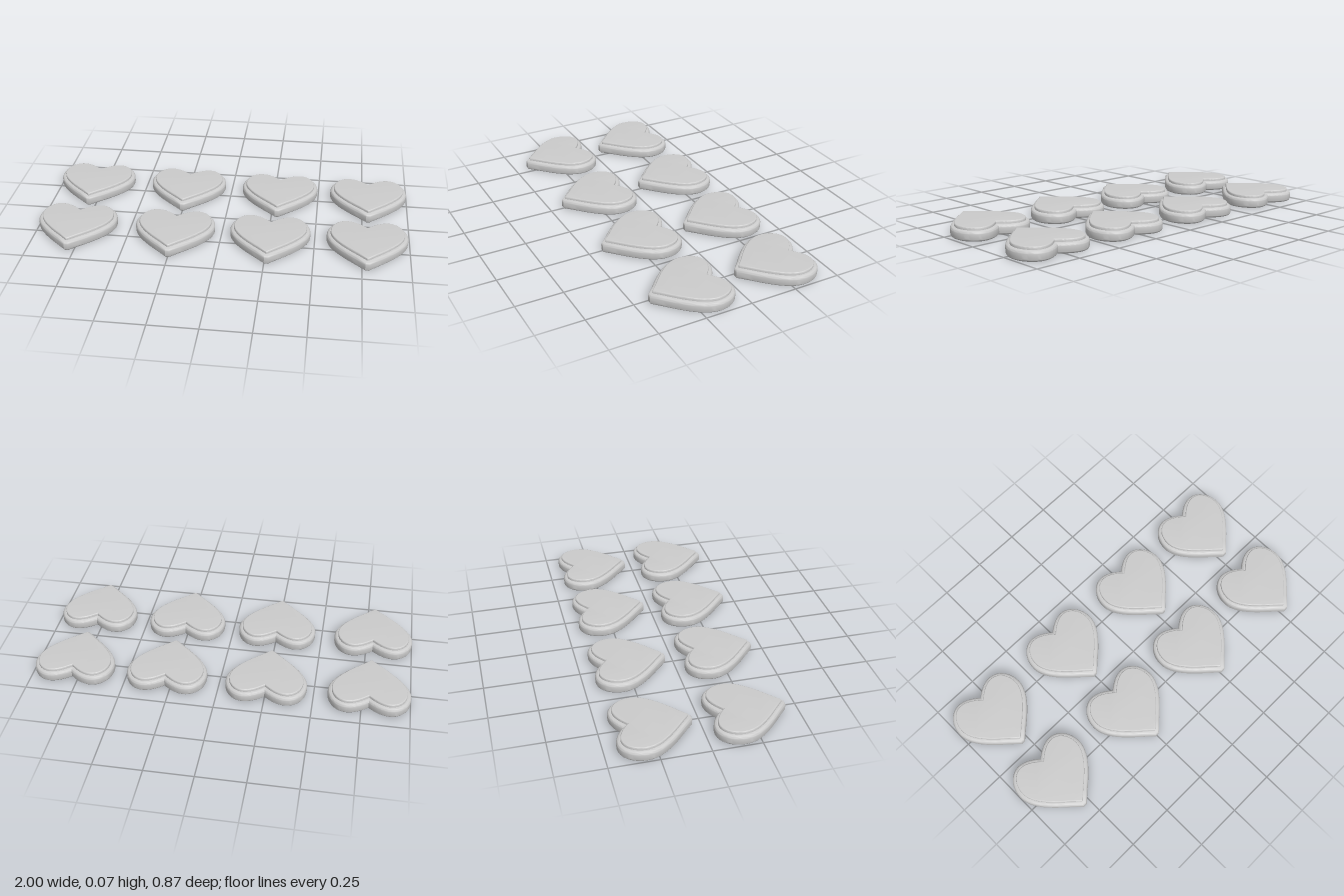
import * as THREE from 'three';
import { toCreasedNormals } from 'three/addons/utils/BufferGeometryUtils.js';

// Heart outline: shape x = model x, shape y = model z (tip towards the front)
function heartShape() {
  const s = new THREE.Shape();
  s.moveTo(0.011, 0.196);
  s.lineTo(0.06, 0.15);
  s.bezierCurveTo(0.15, 0.072, 0.214, 0.002, 0.214, -0.07);
  s.bezierCurveTo(0.214, -0.145, 0.165, -0.197, 0.11, -0.197);
  s.bezierCurveTo(0.07, -0.197, 0.03, -0.172, 0, -0.145);
  s.bezierCurveTo(-0.03, -0.172, -0.07, -0.197, -0.11, -0.197);
  s.bezierCurveTo(-0.165, -0.197, -0.214, -0.145, -0.214, -0.07);
  s.bezierCurveTo(-0.214, 0.002, -0.15, 0.072, -0.06, 0.15);
  s.lineTo(-0.011, 0.196);
  s.closePath();
  return s;
}

// Flat heart slab with rounded edges, between two heights, inset from the outline
function heartSlab(bottom, top, inset, round) {
  const geo = new THREE.ExtrudeGeometry(heartShape(), {
    depth: top - bottom - 2 * round,
    curveSegments: 14,
    bevelEnabled: true,
    bevelThickness: round,
    bevelSize: round,
    bevelOffset: -inset - round,
    bevelSegments: 5,
  });
  geo.rotateX(Math.PI / 2);
  geo.translate(0, top - round, 0);
  return toCreasedNormals(geo, 0.7);
}

export function createModel() {
  const model = new THREE.Group();
  model.name = 'heartTiles';
  const material = new THREE.MeshStandardMaterial({ color: 0xcccccc });
  const baseGeo = heartSlab(0, 0.055, 0, 0.016);
  const plateGeo = heartSlab(0.04, 0.07, 0.02, 0.005);

  // Centres [x, z] of the two rows of four
  const centres = [
    [-0.786, -0.24], [-0.25, -0.24], [0.28, -0.235], [0.782, -0.238],
    [-0.786, 0.236], [-0.25, 0.236], [0.262, 0.236], [0.776, 0.236],
  ];
  centres.forEach(([x, z], i) => {
    const heart = new THREE.Group();
    heart.name = `heart${i + 1}`;
    const base = new THREE.Mesh(baseGeo, material);
    base.name = 'base';
    const plate = new THREE.Mesh(plateGeo, material);
    plate.name = 'raisedPlate';
    heart.add(base, plate);
    heart.position.set(x, 0, z);
    model.add(heart);
  });
  return model;
}
